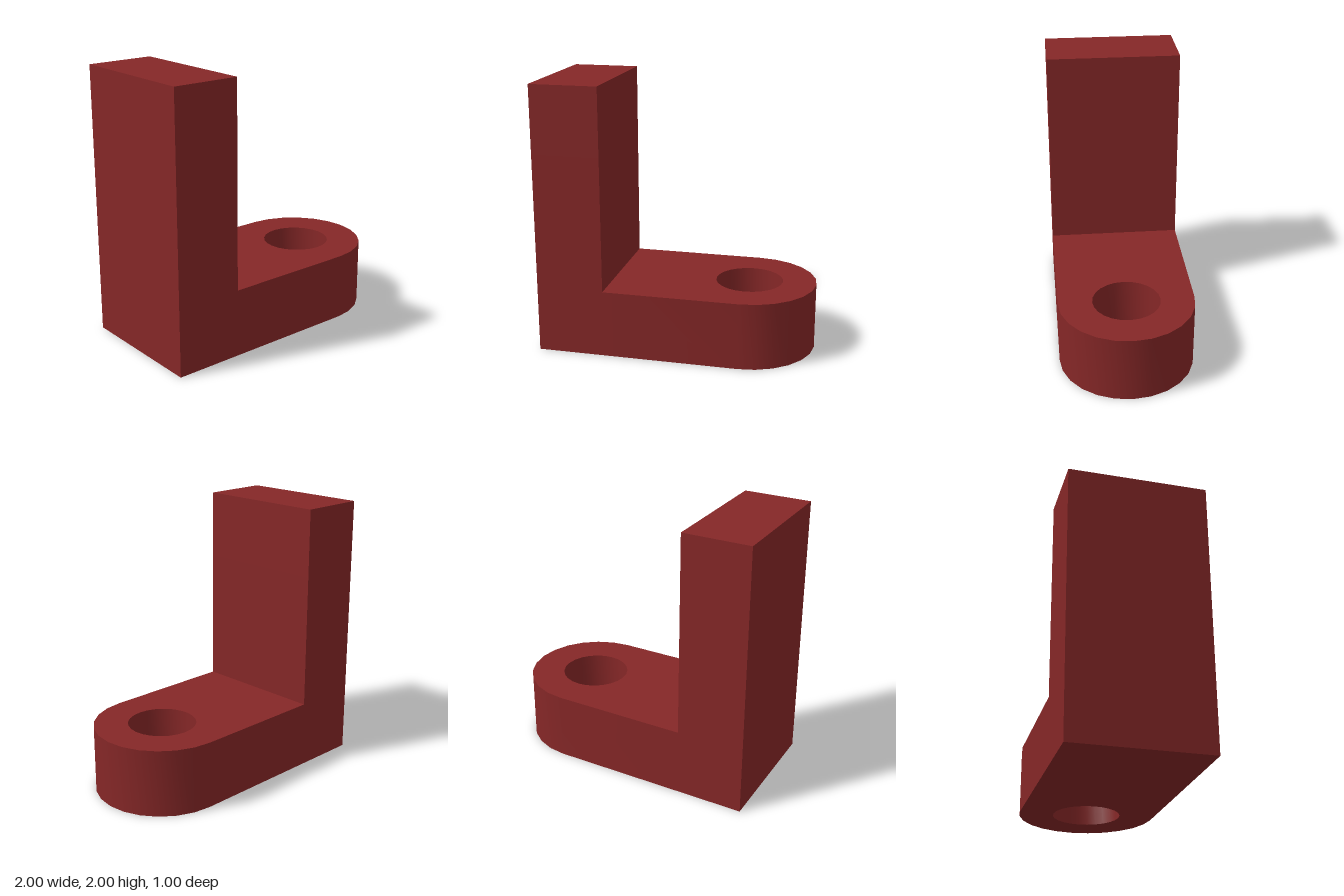
import * as THREE from 'three';
import { mergeGeometries, toCreasedNormals } from 'three/addons/utils/BufferGeometryUtils.js';

const ARM = 0.5;      // thickness of both arms
const JOINT = -0.5;   // x where the foot meets the upright

// points of an arc around the bolt hole centre
function arc(radius, from, to, steps) {
  return Array.from({ length: steps + 1 }, (_, i) => {
    const a = from + (to - from) * i / steps;
    return new THREE.Vector2(0.5 + radius * Math.cos(a), radius * Math.sin(a));
  });
}

// drop the hidden faces where the two arms join
function withoutJoint(geometry) {
  const p = geometry.attributes.position;
  const kept = [];
  for (let i = 0; i < p.count; i += 3) {
    const inside = [i, i + 1, i + 2].every(
      (k) => Math.abs(p.getX(k) - JOINT) < 1e-4 && p.getY(k) < ARM + 1e-4);
    if (!inside) for (let k = i; k < i + 3; k++) kept.push(p.getX(k), p.getY(k), p.getZ(k));
  }
  const out = new THREE.BufferGeometry();
  out.setAttribute('position', new THREE.Float32BufferAttribute(kept, 3));
  return out;
}

export function createModel() {
  const group = new THREE.Group();
  group.name = 'angleBracket';

  // foot: flat plate with a rounded end and a round through hole
  const outline = new THREE.Shape([
    new THREE.Vector2(JOINT, -0.5),
    ...arc(0.5, -Math.PI / 2, Math.PI / 2, 12),
    new THREE.Vector2(JOINT, 0.5),
  ]);
  outline.holes.push(new THREE.Path(arc(0.25, 0, -Math.PI * 2, 24).slice(0, -1)));
  const foot = new THREE.ExtrudeGeometry(outline, { depth: ARM, bevelEnabled: false });
  foot.rotateX(-Math.PI / 2);

  // upright: tall block, split in height so the joint lies on an edge
  const upright = new THREE.BoxGeometry(ARM, 2, 1, 1, 4, 1).toNonIndexed();
  upright.translate(-0.75, 1, 0);

  const body = mergeGeometries([withoutJoint(foot), withoutJoint(upright)]);
  const mesh = new THREE.Mesh(
    toCreasedNormals(body, Math.PI / 6),
    new THREE.MeshStandardMaterial({ color: 0x852727 }));
  mesh.name = 'bracketBody';
  group.add(mesh);
  return group;
}
